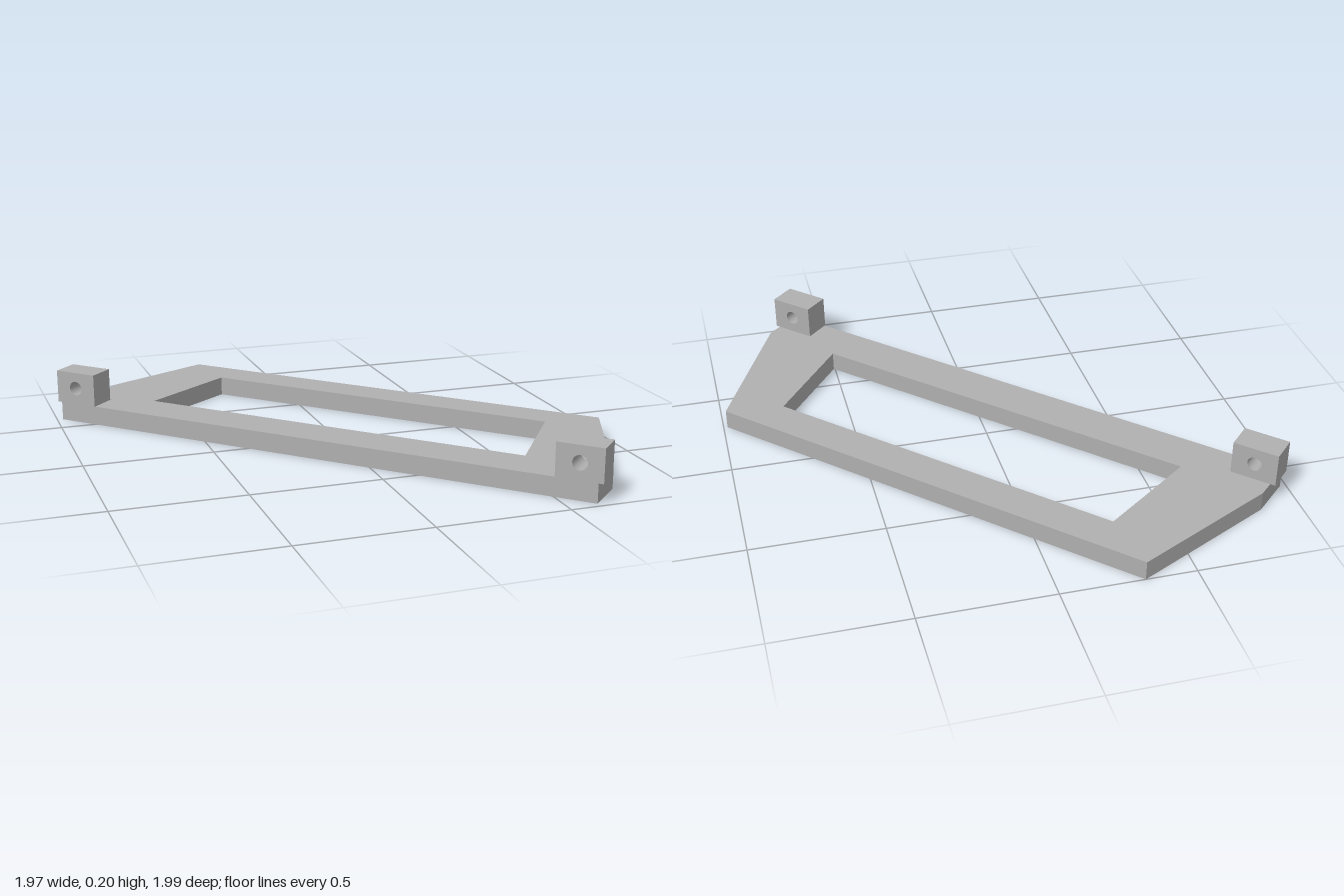
import * as THREE from 'three';

const PLATE_TOP = 0.075;

export function createModel() {
  const group = new THREE.Group();
  const grey = new THREE.MeshStandardMaterial({ color: 0xb0b0b0 });
  grey.name = 'grey';

  const add = (name, geometry) => {
    const mesh = new THREE.Mesh(geometry, grey);
    mesh.name = name;
    group.add(mesh);
    return mesh;
  };
  // Points are given as ground coordinates [x, z]
  const toPoints = (list) => list.map(([x, z]) => new THREE.Vector2(x, -z));

  // Flat frame plate with a four-sided window
  const outline = new THREE.Shape(toPoints([
    [-0.977, -0.612], [0.612, 0.977], [0.735, 0.86],
    [0.985, 0.295], [-0.31, -1], [-0.85, -0.73],
  ]));
  outline.holes.push(new THREE.Path(toPoints([
    [-0.62, -0.5], [-0.27, -0.755], [0.76, 0.275], [0.505, 0.625],
  ])));
  const plate = new THREE.ExtrudeGeometry(outline, { depth: PLATE_TOP, bevelEnabled: false });
  plate.rotateX(-Math.PI / 2);
  add('framePlate', plate);

  // Two drilled lugs standing on the long edge, turned 45 degrees with it
  const w = 0.177, h = 0.13, d = 0.11;
  const side = new THREE.Shape();
  side.moveTo(-w / 2, 0).lineTo(w / 2, 0).lineTo(w / 2, h).lineTo(-w / 2, h).closePath();
  side.holes.push(new THREE.Path().absarc(0, h / 2, 0.028, 0, Math.PI * 2, true));
  const lug = new THREE.ExtrudeGeometry(side, { depth: d, bevelEnabled: false, curveSegments: 16 });
  lug.translate(0, 0, -d / 2).rotateY(-Math.PI / 4);
  add('rightLug', lug).position.set(-0.888, PLATE_TOP, -0.598);
  add('leftLug', lug).position.set(0.6, PLATE_TOP, 0.892);

  return group;
}
